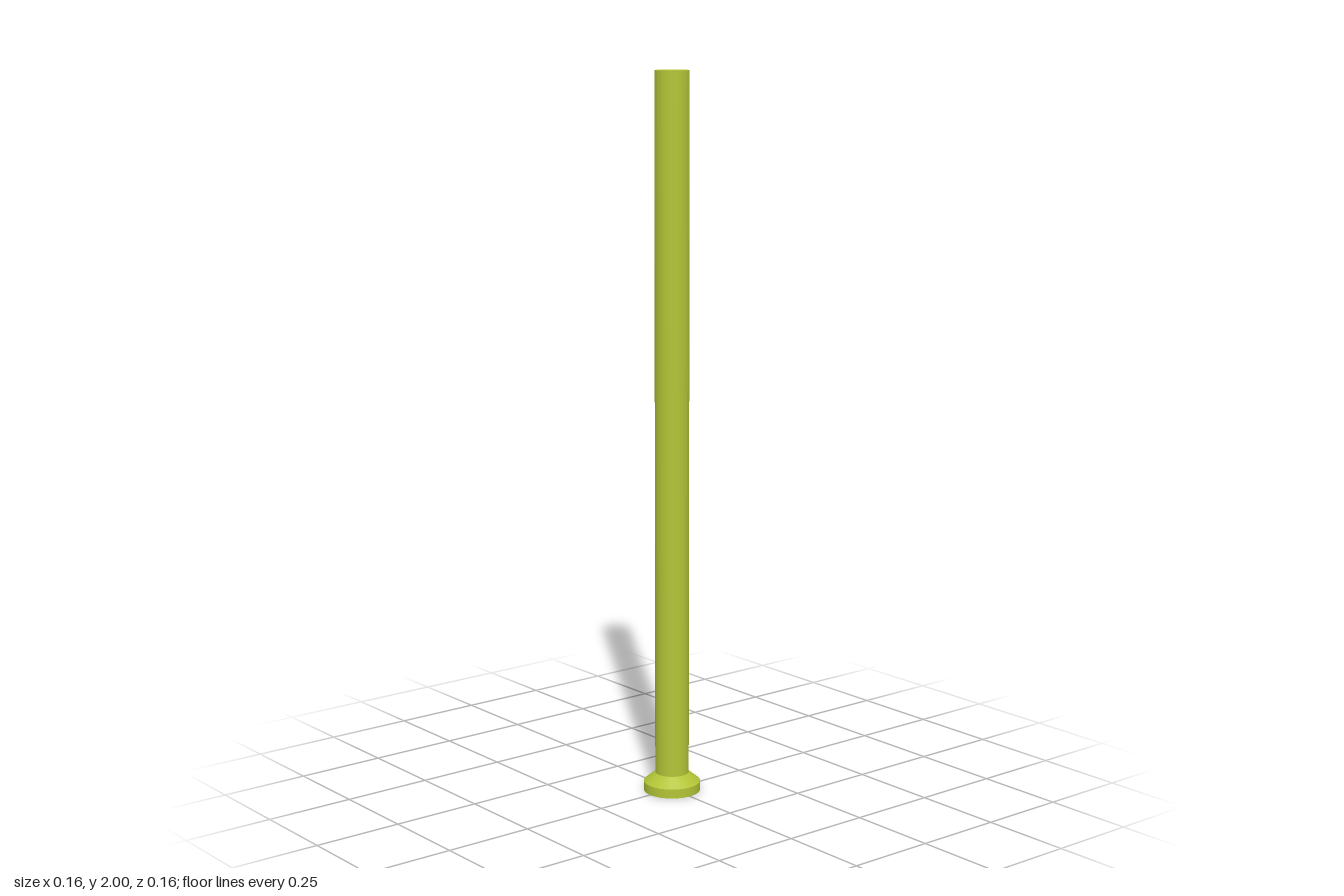
import * as THREE from 'three';

const SIDES = 64;
const SHAFT_RADIUS = 0.047;
const BASE_RADIUS = 0.079;
const RIM_TOP = 0.026;
const BASE_TOP = 0.052;

export function createModel() {
  const group = new THREE.Group();
  group.name = 'post';
  const material = new THREE.MeshStandardMaterial({ color: 0xb2c436 });
  material.flatShading = true;

  // Adds a round section between two heights
  function addSection(name, topRadius, bottomRadius, y0, y1, open) {
    const geometry = new THREE.CylinderGeometry(topRadius, bottomRadius, y1 - y0, SIDES, 1, open);
    const mesh = new THREE.Mesh(geometry, material);
    mesh.name = name;
    mesh.position.y = (y0 + y1) / 2;
    group.add(mesh);
  }

  // Flat disc at the foot, sloping collar, then the long shaft
  addSection('baseRim', BASE_RADIUS, BASE_RADIUS, 0, RIM_TOP, false);
  addSection('baseCollar', SHAFT_RADIUS, BASE_RADIUS, RIM_TOP, BASE_TOP, true);
  addSection('shaft', SHAFT_RADIUS, SHAFT_RADIUS, BASE_TOP, 2, false);

  return group;
}
